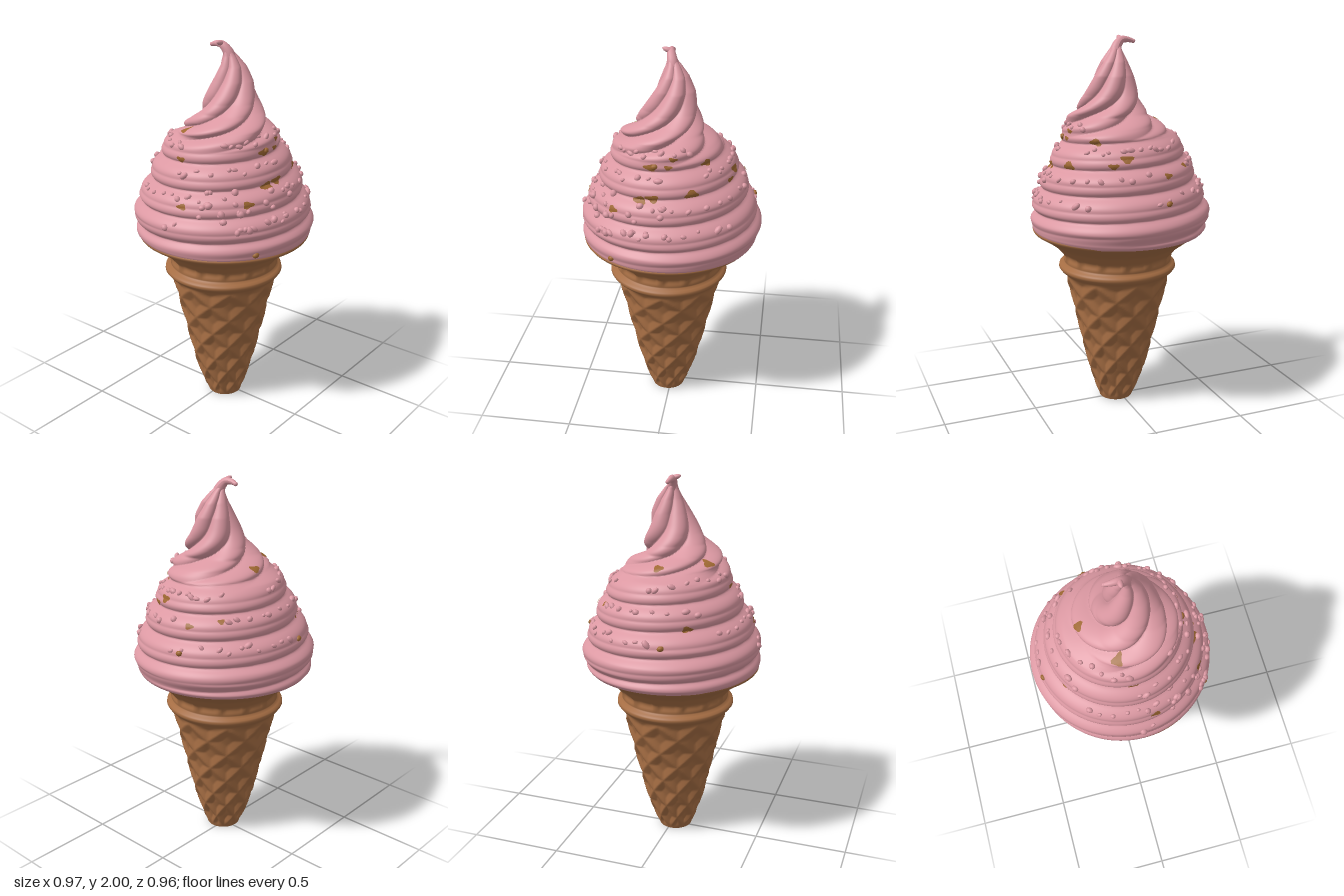
import * as THREE from 'three';
import { mergeGeometries } from 'three/addons/utils/BufferGeometryUtils.js';

const TAU = Math.PI * 2;

// rows: [y, radius, centreX, centreZ]
const CONE = [
  [0, 0.09, -0.015, 0.02], [0.1, 0.125, -0.015, 0.015], [0.2, 0.158, -0.014, 0.013], [0.4, 0.205, -0.012, 0.012],
  [0.6, 0.25, -0.012, 0.01], [0.735, 0.283, -0.012, 0.01], [0.755, 0.308, -0.014, 0.01], [0.77, 0.318, -0.015, 0.01],
  [0.785, 0.315, -0.015, 0.01], [0.8, 0.29, -0.012, 0.01], [0.85, 0.298, -0.01, 0.01], [0.9, 0.342, -0.01, 0.01],
  [0.95, 0.408, -0.01, 0.01], [0.975, 0.45, -0.01, 0.01], [0.99, 0.46, -0.01, 0.01], [1.0, 0.45, -0.01, 0.01],
];
const CREAM = [
  [0.98, 0.452, -0.005, 0.005], [1.0, 0.468, -0.003, 0.003], [1.06, 0.484, 0, 0], [1.12, 0.48, 0, 0],
  [1.2, 0.452, -0.008, 0], [1.3, 0.407, 0, 0.005], [1.4, 0.36, 0, 0], [1.5, 0.302, -0.005, 0.005], [1.55, 0.25, -0.02, 0.035],
  [1.6, 0.19, -0.03, 0.055], [1.65, 0.155, -0.008, 0.052], [1.7, 0.132, 0.003, 0.047], [1.8, 0.096, 0.02, 0.046],
  [1.87, 0.064, 0.022, 0.04], [1.92, 0.036, 0.014, 0.03], [1.95, 0.02, 0.004, 0.02],
];

function sample(table, y) {
  let i = 0;
  while (i < table.length - 2 && y > table[i + 1][0]) i++;
  const a = table[i], b = table[i + 1];
  const t = THREE.MathUtils.clamp((y - a[0]) / (b[0] - a[0]), 0, 1);
  return a.map((v, k) => v + (b[k] - v) * t);
}

function seeded(seed) {
  return () => (seed = (seed * 16807) % 2147483647) / 2147483647;
}

// Surface closed around u, open along v
function gridSurface(nu, nv, fn) {
  const pos = [], idx = [];
  for (let j = 0; j <= nv; j++)
    for (let i = 0; i < nu; i++) pos.push(...fn(i / nu, j / nv).toArray());
  for (let j = 0; j < nv; j++)
    for (let i = 0; i < nu; i++) {
      const a = j * nu + i, b = j * nu + (i + 1) % nu;
      idx.push(a, b, b + nu, a, b + nu, a + nu);
    }
  const g = new THREE.BufferGeometry();
  g.setAttribute('position', new THREE.Float32BufferAttribute(pos, 3));
  g.setIndex(idx);
  g.computeVertexNormals();
  return g;
}

const smooth = THREE.MathUtils.smoothstep;
const around = (theta, y, [, r, cx, cz], d) =>
  new THREE.Vector3(cx + Math.sin(theta) * (r + d), y, cz + Math.cos(theta) * (r + d));

// Diamond ridges on the lower cone, shallow panels on the flared cup
function conePoint(theta, y) {
  const u = theta / TAU;
  const ridge = (p) => Math.max(0, 1 - Math.abs(p - Math.round(p)) / 0.32);
  const lattice = Math.max(ridge(8 * u + 5.5 * y), ridge(8 * u - 5.5 * y));
  const waffle = smooth(y, 0.01, 0.06) * (1 - smooth(y, 0.7, 0.74));
  const panel = smooth(y, 0.81, 0.84) * (1 - smooth(y, 0.92, 0.95));
  const rib = smooth(Math.abs(Math.sin(theta * 7)), 0.2, 0.6);
  return around(theta, y, sample(CONE, y), waffle * (lattice * 0.018 - 0.012) - panel * rib * 0.01);
}

// One rising coil that turns into twisted flutes near the peak
function creamPoint(theta, y, lift = 0) {
  const row = sample(CREAM, y);
  const p = (y - 0.975) / 0.122 - theta / TAU;
  const peak = smooth(y, 1.48, 1.62);
  const coil = Math.abs(Math.sin(Math.PI * p)) ** 0.8 - 1;
  const fine = Math.abs(Math.sin(TAU * p + 0.5)) - 1;
  const twist = 4.5 * (y - 1.6) - 30 * Math.max(0, 1.75 - y) ** 2;
  const flute = Math.abs(Math.sin(2.5 * (theta - twist))) ** 0.8;
  const d = (1 - peak) * smooth(y, 0.98, 1.05) * (coil * 0.032 + fine * 0.007)
    + peak * row[1] * (flute * 0.3 - 0.2);
  return around(theta, y, row, d + lift);
}

function blob(center, sx, sy, sz, turn) {
  const g = new THREE.SphereGeometry(1, 9, 7);
  g.scale(sx, sy, sz);
  g.rotateZ(turn);
  g.rotateY(Math.atan2(center.x, center.z));
  return g.translate(center.x, center.y, center.z);
}

export function createModel() {
  const group = new THREE.Group();
  const material = (name, color) => Object.assign(new THREE.MeshStandardMaterial({ color }), { name });
  const pink = material('strawberry pink', 0xdb98a2);
  const wafer = material('wafer brown', 0xa56d43);
  const caramel = material('caramel brown', 0x9e6832);
  const add = (name, geometry, mat) => {
    const mesh = new THREE.Mesh(geometry, mat);
    mesh.name = name;
    group.add(mesh);
  };

  // Wafer cone, its foot and the rim of the cup
  add('waferCone', gridSurface(144, 130, (u, v) => conePoint(u * TAU, v)), wafer);
  add('coneFoot', new THREE.CircleGeometry(0.092, 40).rotateX(Math.PI / 2).translate(-0.015, 0.001, 0.02), wafer);

  // Swirled ice cream, its lower edge tucked against the cup
  add('creamSwirl', gridSurface(144, 190, (u, v) => creamPoint(u * TAU, 0.98 + v * 0.97)), pink);

  // Hooked peak: a tapered tube with a round end
  const path = new THREE.CatmullRomCurve3([
    [0.018, 1.88, 0.038], [0.006, 1.94, 0.022], [-0.004, 1.974, -0.008], [-0.006, 1.976, -0.045], [-0.002, 1.968, -0.075],
  ].map((p) => new THREE.Vector3(...p)));
  const tube = new THREE.TubeGeometry(path, 24, 1, 14);
  const tp = tube.attributes.position;
  for (let i = 0; i < tp.count; i++) {
    const t = Math.floor(i / 15) / 24, c = path.getPointAt(t);
    const v = new THREE.Vector3().fromBufferAttribute(tp, i).sub(c).multiplyScalar(0.036 - 0.026 * t).add(c);
    tp.setXYZ(i, v.x, v.y, v.z);
  }
  tube.computeVertexNormals();
  add('peakHook', tube, pink);
  add('peakEnd', new THREE.SphereGeometry(0.011, 10, 8).translate(-0.002, 1.968, -0.075), pink);
  add('peakCurl', new THREE.SphereGeometry(1, 12, 8).scale(0.032, 0.013, 0.014).rotateZ(-0.3)
    .translate(-0.018, 1.983, -0.006), pink);

  // Sugar beads half sunk along the coil, in loose clusters
  const rand = seeded(4721);
  const beads = [];
  for (let t = 0.75; t < 4.1; t += 0.012 + rand() * 0.03) {
    if (Math.sin(t * 17) > 0.6) continue;
    const y = 0.975 + 0.122 * (t + 0.7) + (rand() - 0.5) * 0.03;
    const s = 0.009 + rand() * 0.008;
    beads.push(blob(creamPoint(t * TAU, y, -0.001), s * (1 + rand() * 0.8), s, s, (rand() - 0.5) * 2));
  }
  // Extra beads gathered on the front left of the widest coils
  for (let i = 0; i < 24; i++) {
    const s = 0.01 + rand() * 0.008;
    beads.push(blob(creamPoint(-1.25 + rand() * 1.5, 1.14 + rand() * 0.18, 0.002), s * 1.2, s, s, rand() * 3));
  }
  add('pinkBeads', mergeGeometries(beads), pink);

  // A few caramel beads: [x, z, y]
  const caramelBeads = [[0.39, -0.08, 1.2], [-0.04, 0.3, 1.49], [-0.25, 0.4, 1.02], [-0.08, -0.43, 1.22]]
    .map(([x, z, y]) => blob(creamPoint(Math.atan2(x, z), y), 0.018, 0.014, 0.013, 0.3));
  add('caramelBeads', mergeGeometries(caramelBeads), caramel);

  // Thin caramel flecks that follow the surface: [x, z, y, size]
  const flecks = [
    [-0.2, -0.35, 1.3, 0.02], [0.02, -0.215, 1.56, 0.016], [-0.17, -0.1, 1.57, 0.016], [-0.32, -0.02, 1.45, 0.018],
    [-0.42, 0.07, 1.25, 0.018], [-0.24, 0.34, 1.27, 0.02], [0.15, 0.34, 1.37, 0.026], [-0.11, 0.36, 1.335, 0.024],
    [-0.045, 0.37, 1.35, 0.024], [-0.06, 0.3, 1.485, 0.022], [0.03, 0.3, 1.49, 0.014], [0.32, 0.09, 1.42, 0.022],
    [0.31, 0.155, 1.385, 0.018], [0.21, 0.21, 1.49, 0.022], [0.06, 0.26, 1.53, 0.014], [0.37, -0.11, 1.33, 0.016],
    [0.285, -0.24, 1.36, 0.012],
  ].map(([x, z, y, size]) => {
    const theta = Math.atan2(x, z), r = Math.hypot(x, z);
    return gridSurface(14, 3, (u, v) => {
      const a = u * TAU, k = size * (1 - v) * (1 + 0.25 * Math.sin(3 * a + x * 20));
      return creamPoint(theta + (Math.cos(a) * k * 1.4) / r, y + Math.sin(a) * k * 0.8, 0.005);
    });
  });
  add('caramelFlecks', mergeGeometries(flecks), caramel);

  return group;
}
